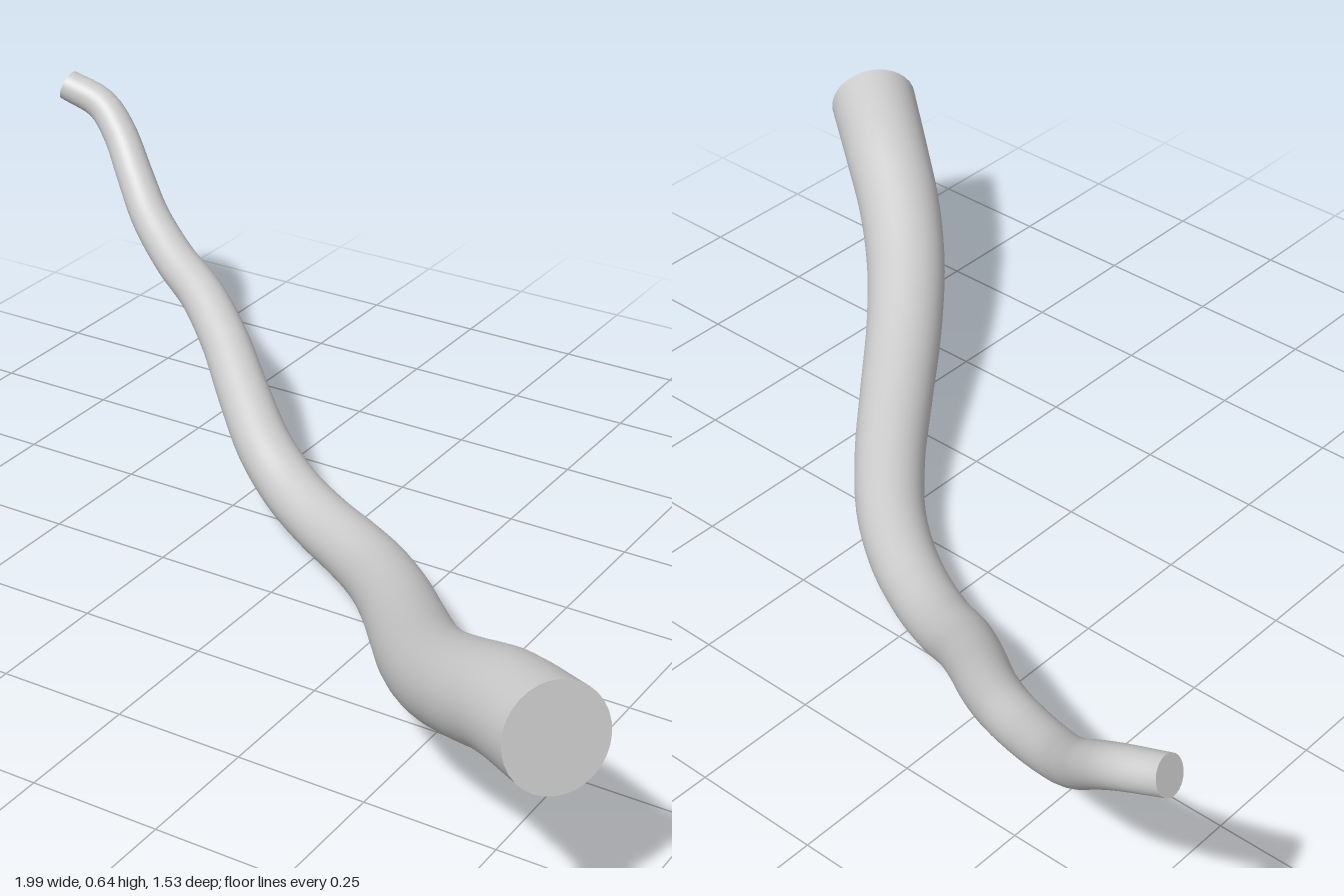
import * as THREE from 'three';

// Centreline from the thin tip to the thick cut end
const path = [
  [-0.982, 0.612, -0.726], [-0.9, 0.582, -0.733], [-0.84, 0.535, -0.713], [-0.77, 0.462, -0.67],
  [-0.7, 0.4, -0.624], [-0.6, 0.343, -0.57], [-0.5, 0.304, -0.521], [-0.4, 0.252, -0.453],
  [-0.3, 0.19, -0.37], [-0.2, 0.13, -0.293], [-0.1, 0.085, -0.238], [0, 0.067, -0.187],
  [0.1, 0.068, -0.13], [0.2, 0.08, -0.055], [0.3, 0.105, 0.05], [0.4, 0.142, 0.178],
  [0.5, 0.19, 0.31], [0.6, 0.246, 0.425], [0.7, 0.303, 0.515], [0.8, 0.352, 0.588], [0.936, 0.393, 0.69],
].map((p) => new THREE.Vector3(...p));

const TIP_RADIUS = 0.033, BASE_RADIUS = 0.091;
const RINGS = 120, SIDES = 32;

export function createModel() {
  const group = new THREE.Group();
  group.name = 'branch';
  const material = new THREE.MeshStandardMaterial({ color: 0xcccccc });
  const curve = new THREE.CatmullRomCurve3(path);

  // Tube of unit radius, each ring shrunk towards its centre for an even taper
  const tube = new THREE.TubeGeometry(curve, RINGS, 1, SIDES, false);
  const pos = tube.attributes.position;
  const v = new THREE.Vector3();
  for (let i = 0; i <= RINGS; i++) {
    const centre = curve.getPointAt(i / RINGS);
    const radius = THREE.MathUtils.lerp(TIP_RADIUS, BASE_RADIUS, i / RINGS);
    for (let j = 0; j <= SIDES; j++) {
      const k = i * (SIDES + 1) + j;
      v.fromBufferAttribute(pos, k).sub(centre).multiplyScalar(radius).add(centre);
      pos.setXYZ(k, v.x, v.y, v.z);
    }
  }
  const stem = new THREE.Mesh(tube, material);
  stem.name = 'stem';
  group.add(stem);

  // Flat cut faces at both ends
  const addCap = (name, t, radius, sign) => {
    const cap = new THREE.Mesh(new THREE.CircleGeometry(radius, SIDES), material);
    cap.name = name;
    cap.position.copy(curve.getPointAt(t));
    const outward = curve.getTangentAt(t).multiplyScalar(sign);
    cap.quaternion.setFromUnitVectors(new THREE.Vector3(0, 0, 1), outward);
    group.add(cap);
  };
  addCap('tipCap', 0, TIP_RADIUS, -1);
  addCap('baseCap', 1, BASE_RADIUS, 1);
  return group;
}
